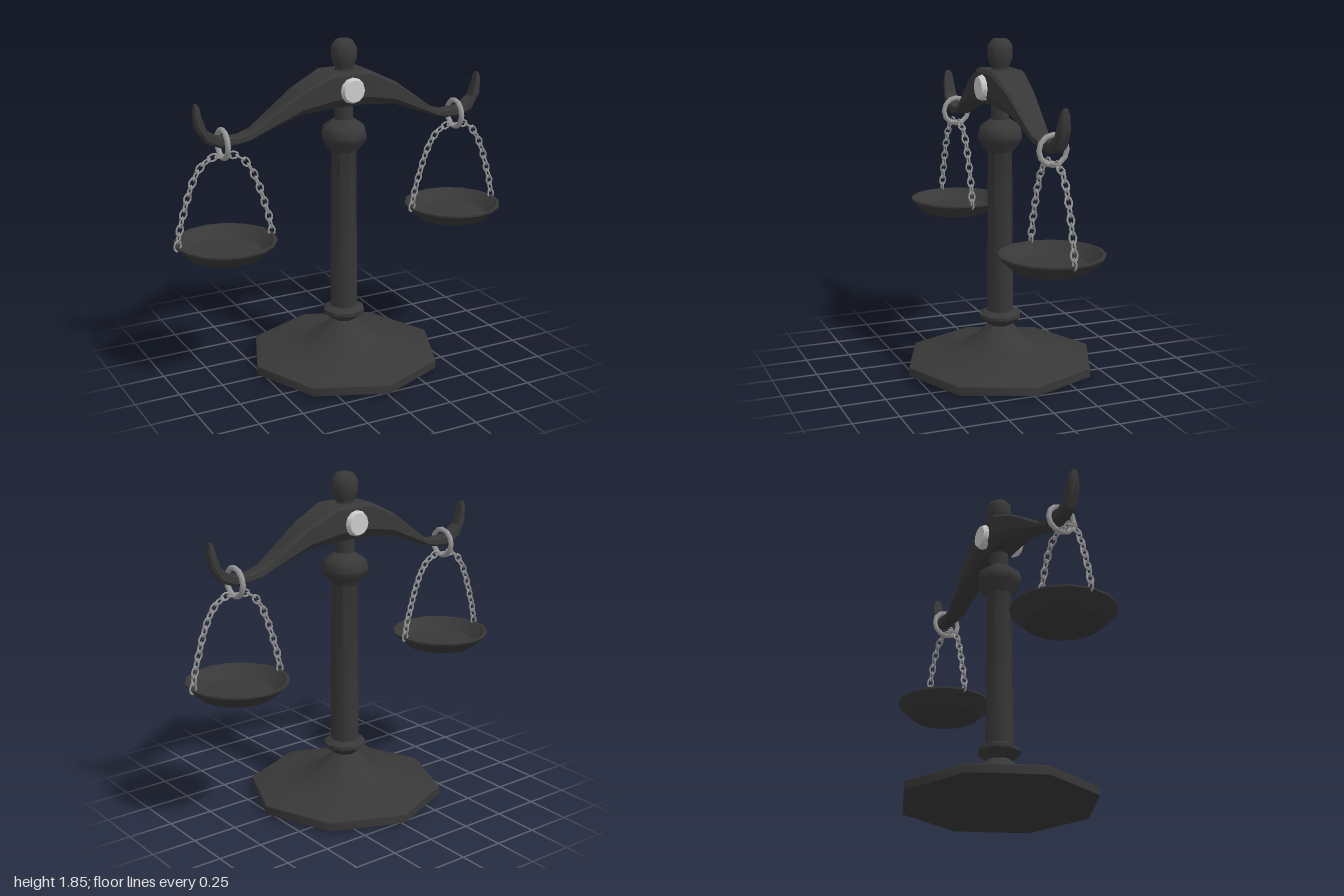
import * as THREE from 'three';
import { toCreasedNormals } from 'three/addons/utils/BufferGeometryUtils.js';

const material = (color) => new THREE.MeshStandardMaterial({ color });
const dark = material(0x383838);
const darkThin = material(0x383838);
darkThin.side = THREE.DoubleSide;
const metal = material(0x999999);
const pale = material(0xcccccc);

function add(parent, name, geometry, mat) {
  const mesh = new THREE.Mesh(geometry, mat);
  mesh.name = name;
  parent.add(mesh);
  return mesh;
}

function lathe(profile, sides, crease) {
  const points = profile.map(([r, y]) => new THREE.Vector2(r, y));
  return toCreasedNormals(new THREE.LatheGeometry(points, sides), crease);
}

// Beam: bevelled cross-sections lofted from one hooked tip to the other
function beamGeometry() {
  // top x, top y, bottom x, bottom y, half depth
  const half = [
    [0.11, 1.69, 0.11, 1.5, 0.1],
    [0.28, 1.607, 0.28, 1.48, 0.08],
    [0.41, 1.515, 0.41, 1.433, 0.065],
    [0.535, 1.425, 0.58, 1.368, 0.05],
    [0.62, 1.4, 0.64, 1.358, 0.042],
    [0.735, 1.41, 0.72, 1.35, 0.037],
    [0.8, 1.457, 0.8, 1.382, 0.036],
    [0.825, 1.53, 0.855, 1.47, 0.03],
    [0.832, 1.575, 0.861, 1.55, 0.022],
    [0.843, 1.592, 0.855, 1.588, 0.012],
    [0.849, 1.59, 0.849, 1.59, 0],
  ];
  const mirrored = half.map(([a, b, c, d, w]) => [-a, b, -c, d, w]).reverse();
  const stations = [...mirrored, ...half];
  const section = [[1, 0.85], [0.8, 1], [-0.5, 1], [-1, 0.65],
    [-1, -0.65], [-0.5, -1], [0.8, -1], [1, -0.85]];
  const n = section.length;
  const positions = [];
  const index = [];
  stations.forEach(([tx, ty, bx, by, w], i) => {
    section.forEach(([u, v], k) => {
      const t = (u + 1) / 2;
      positions.push(bx + (tx - bx) * t, by + (ty - by) * t, v * w);
      if (i === stations.length - 1) return;
      const k2 = (k + 1) % n;
      const a = i * n + k, d = i * n + k2;
      index.push(a, d, d + n, a, d + n, a + n);
    });
  });
  const geometry = new THREE.BufferGeometry();
  geometry.setAttribute('position', new THREE.Float32BufferAttribute(positions, 3));
  geometry.setIndex(index);
  return toCreasedNormals(geometry, 0.6);
}

// One hanging pan with its ring and two chains; origin on the pan axis
function createPan(linkGeometry) {
  const group = new THREE.Group();

  const ring = add(group, 'hangingRing', new THREE.TorusGeometry(0.076, 0.015, 6, 12), metal);
  ring.rotation.y = Math.PI / 2;
  ring.position.y = 1.366;

  add(group, 'pan', lathe([
    [0, 0.76], [0.2, 0.76], [0.24, 0.795], [0.275, 0.83], [0.275, 0.84],
    [0.26, 0.84], [0.225, 0.808], [0.19, 0.782], [0, 0.782],
  ], 16, 0.5), darkThin);

  const linkCount = 14;
  for (const side of [-1, 1]) {
    const chain = new THREE.Group();
    chain.name = side > 0 ? 'chainLeft' : 'chainRight';
    group.add(chain);
    const curve = new THREE.CatmullRomCurve3([
      [0.015, 1.3], [0.06, 1.3], [0.12, 1.262], [0.163, 1.2],
      [0.2, 1.11], [0.23, 1.015], [0.253, 0.935], [0.268, 0.85],
    ].map(([x, y]) => new THREE.Vector3(side * x, y, 0)));
    for (let i = 0; i < linkCount; i++) {
      const t = i / (linkCount - 1);
      const tangent = curve.getTangentAt(t);
      const link = add(chain, 'chainLink', linkGeometry, metal);
      link.position.copy(curve.getPointAt(t));
      link.rotation.z = Math.atan2(tangent.y, tangent.x);
      // Every other link is turned edge-on
      if (i % 2 === 0) link.rotateX(Math.PI / 2);
    }
  }
  return group;
}

export function createModel() {
  const model = new THREE.Group();
  model.name = 'balanceScale';

  // Eight-sided flared foot
  add(model, 'base', lathe([
    [0, 0], [0.08, 0], [0.54, 0.016], [0.54, 0.062], [0.525, 0.07],
    [0.41, 0.08], [0.26, 0.112], [0.16, 0.165], [0.065, 0.258],
  ], 8, 0.85), dark);

  // Column with lower collar, upper bulb and narrow neck
  add(model, 'column', lathe([
    [0.06, 0.25], [0.08, 0.27], [0.12, 0.3], [0.12, 0.32], [0.08, 0.34],
    [0.071, 1.24], [0.118, 1.295], [0.13, 1.325], [0.12, 1.375],
    [0.07, 1.41], [0.053, 1.42], [0.053, 1.69],
  ], 8, 0.85), dark);

  add(model, 'finial', lathe([
    [0.053, 1.66], [0.05, 1.7], [0.072, 1.75], [0.072, 1.813],
    [0.05, 1.845], [0.035, 1.853], [0, 1.853],
  ], 8, 0.85), dark);

  add(model, 'beam', beamGeometry(), dark);

  // Pivot caps on both faces of the beam
  const capGeometry = lathe([
    [0.07, 0.07], [0.07, 0.108], [0.06, 0.128], [0, 0.128],
  ], 12, 0.6);
  for (const side of [-1, 1]) {
    const cap = add(model, side > 0 ? 'frontPivotCap' : 'backPivotCap', capGeometry, pale);
    cap.position.y = 1.593;
    cap.rotation.x = side * Math.PI / 2;
  }

  const linkGeometry = new THREE.TorusGeometry(0.019, 0.0055, 5, 8);
  linkGeometry.scale(1.45, 1, 1);
  for (const side of [-1, 1]) {
    const pan = createPan(linkGeometry);
    pan.name = side > 0 ? 'leftPanAssembly' : 'rightPanAssembly';
    pan.position.x = side * 0.705;
    model.add(pan);
  }
  return model;
}
